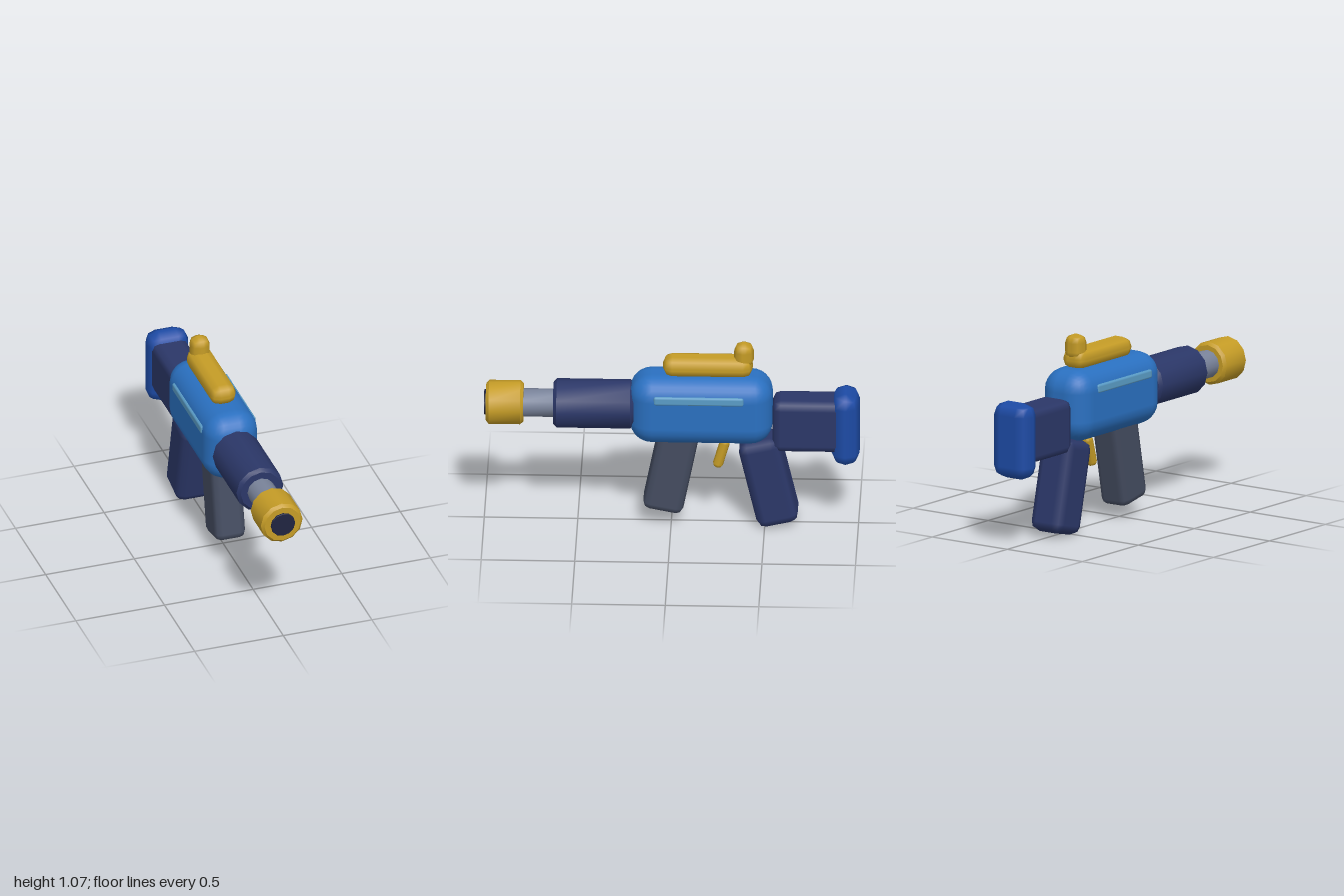
import * as THREE from 'three';
import { RoundedBoxGeometry } from 'three/addons/geometries/RoundedBoxGeometry.js';
import { toCreasedNormals } from 'three/addons/utils/BufferGeometryUtils.js';

const NAVY = 0x2b3768, BLUE = 0x2a70c0, GOLD = 0xc59c26, STEEL = 0x79839a;
const SLATE = 0x444c60, ROYAL = 0x1d4ba6, PALE = 0x5a9cc6, DARK = 0x1f2440;

const BORE_Y = 0.695;

export function createModel() {
  const model = new THREE.Group();
  model.name = 'toyBlaster';

  const add = (name, geometry, color, position, tilt = 0) => {
    const mesh = new THREE.Mesh(geometry, new THREE.MeshStandardMaterial({ color }));
    mesh.name = name;
    mesh.position.set(...position);
    mesh.rotation.x = tilt;
    model.add(mesh);
    return mesh;
  };

  // Rounded block whose outer size matches the given size in spite of coarse rounding
  const block = (name, [w, h, d], r, segments, color, position, tilt) => {
    const a = 1 / (segments * 2 + 1);
    const grow = 2 * r * (1 - 1 / Math.sqrt(1 + 2 * a * a));
    const geometry = new RoundedBoxGeometry(w + grow, h + grow, d + grow, segments, r);
    return add(name, geometry, color, position, tilt);
  };

  // Twelve-sided bevelled cylinder along z, from z0 to z1
  const tube = (name, r, z0, z1, bevel, color) => {
    const points = [[0, z0], [r - bevel, z0], [r, z0 + bevel], [r, z1 - bevel], [r - bevel, z1], [0, z1]]
      .map(([x, y]) => new THREE.Vector2(x, y));
    const geometry = toCreasedNormals(new THREE.LatheGeometry(points, 12), 0.6);
    geometry.rotateX(Math.PI / 2);
    return add(name, geometry, color, [0, BORE_Y, 0]);
  };

  // Main body with a pale strip along each side
  block('body', [0.296, 0.39, 0.76], 0.12, 3, BLUE, [0, 0.695, -0.16]);
  for (const [side, s] of [['left', 1], ['right', -1]]) {
    block(side + 'Strip', [0.03, 0.046, 0.48], 0.012, 1, PALE, [s * 0.14, 0.788, -0.15]);
  }

  // Barrel group
  tube('barrelShroud', 0.132, 0.2, 0.63, 0.018, NAVY);
  tube('barrel', 0.076, 0.6, 0.82, 0.004, STEEL);
  tube('muzzle', 0.118, 0.79, 0.99, 0.016, GOLD);
  tube('muzzleBore', 0.068, 0.95, 1.0, 0.002, DARK);

  // Stock and butt plate
  block('stock', [0.192, 0.29, 0.42], 0.045, 1, NAVY, [0, 0.606, -0.755]);
  block('buttPlate', [0.224, 0.405, 0.136], 0.07, 1, ROYAL, [0, 0.588, -0.932]);

  // Grips and trigger
  block('rearGrip', [0.196, 0.5, 0.218], 0.05, 1, NAVY, [0, 0.265, -0.52], 0.228);
  block('frontGrip', [0.166, 0.5, 0.21], 0.04, 1, SLATE, [0, 0.333, 0], -0.195);
  block('trigger', [0.055, 0.17, 0.05], 0.024, 1, GOLD, [0, 0.41, -0.267], -0.28);

  // Top rail and rear sight
  block('topRail', [0.136, 0.1, 0.47], 0.05, 1, GOLD, [0, 0.935, -0.195]);
  block('rearSight', [0.1, 0.13, 0.096], 0.045, 1, GOLD, [0, 1.002, -0.388]);

  return model;
}
